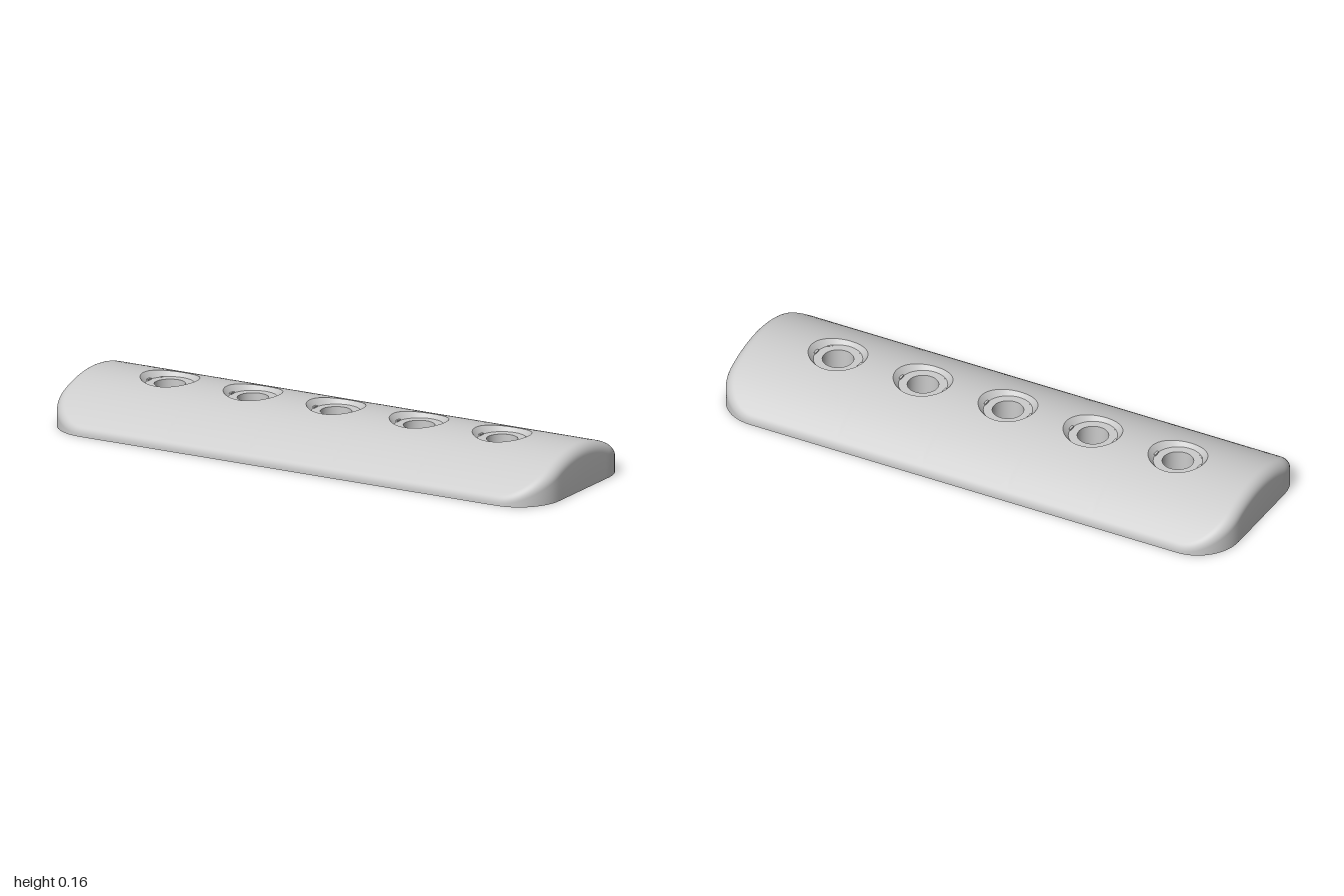
import * as THREE from 'three';
import { mergeGeometries, toCreasedNormals } from 'three/addons/utils/BufferGeometryUtils.js';

const PITCH = 0.335, HALF = PITCH / 2;      // hole spacing
const T = 0.04;                             // wall thickness and edge fillet radius
const R_TOP = 0.47, R_CEIL = R_TOP - T;     // concentric crown arcs
const IN_X = 0.96, IN_Z = 0.29, IN_R = 0.12; // cavity outline
const HOLE_R = 0.055, BOSS_R = 0.092, BOSS_Y = 0.02;
const SEAT_R = 0.086, SEAT_Y = 0.135;       // floor of the recess

// Height of a crown arc at distance z from the centre line
const crown = (z, R) => -0.31 + Math.sqrt(R * R - z * z);

// Skin between closed rings of [x, y, z] points
function loft(rings) {
  const n = rings[0].length, index = [];
  for (let i = 0; i < rings.length - 1; i++) {
    for (let j = 0; j < n; j++) {
      const k = (j + 1) % n, a = i * n + j, b = i * n + k;
      index.push(a, a + n, b, b, a + n, b + n);
    }
  }
  const g = new THREE.BufferGeometry();
  g.setAttribute('position', new THREE.Float32BufferAttribute(rings.flat(2), 3));
  g.setIndex(index);
  return g;
}

// Smooth normals with sharp edges kept (scaled up so close points stay distinct)
function crease(parts) {
  const g = mergeGeometries(parts).scale(100, 100, 100);
  return toCreasedNormals(g, 0.5).scale(0.01, 0.01, 0.01);
}

// Right half of the cavity outline, counter-clockwise from above (w = -z)
function halfOutline() {
  const pts = [], cx = IN_X - IN_R, cw = IN_Z - IN_R, N = 14, M = 14;
  const x0 = 1.5 * PITCH;
  const arc = (sign, from) => {
    for (let i = 0; i <= N; i++) {
      const a = from + (i / N) * Math.PI / 2, nx = Math.cos(a), nw = Math.sin(a);
      pts.push({ x: cx + IN_R * nx, w: sign * cw + IN_R * nw, nx, nw });
    }
  };
  for (let i = 0; i < M; i++) pts.push({ x: x0 + (cx - x0) * i / M, w: -IN_Z, nx: 0, nw: -1 });
  arc(-1, -Math.PI / 2);
  for (let i = 1; i < 16; i++) pts.push({ x: IN_X, w: -cw + 2 * cw * i / 16, nx: 1, nw: 0 });
  arc(1, 0);
  for (let i = 1; i <= M; i++) pts.push({ x: cx + (x0 - cx) * i / M, w: IN_Z, nx: 0, nw: 1 });
  return pts;
}

// Evenly spaced points on a straight line, last point left out
function line(x1, w1, x2, w2, n) {
  return Array.from({ length: n }, (_, i) => ({ x: x1 + (x2 - x1) * i / n, w: w1 + (w2 - w1) * i / n }));
}

const rotate = pts => pts.map(p => ({ x: -p.x, w: -p.w, nx: -p.nx, nw: -p.nw }));

// Boundary of the area around hole i
function cellBoundary(i, half) {
  if (Math.abs(i) === 2) {
    const x = 1.5 * PITCH;
    const pts = [...half, ...line(x, IN_Z, x, -IN_Z, 28).slice(1)];
    return i > 0 ? pts : rotate(pts);
  }
  const c = i * PITCH, a = c - HALF, b = c + HALF;
  return [...line(b, -IN_Z, b, IN_Z, 28), ...line(b, IN_Z, a, IN_Z, 12),
    ...line(a, IN_Z, a, -IN_Z, 28), ...line(a, -IN_Z, b, -IN_Z, 12)];
}

// Rings of a crowned sheet from a round opening out to the cell boundary
function sheetRings(boundary, cx, R, radiusAt) {
  const rings = [], steps = 10, scale = R / R_CEIL;
  for (let s = 0; s <= steps; s++) {
    rings.push(boundary.map(p => {
      const w1 = p.w * scale, a = Math.atan2(w1, p.x - cx), r = radiusAt(a), t = s / steps;
      const x = (cx + r * Math.cos(a)) * (1 - t) + p.x * t;
      const w = r * Math.sin(a) * (1 - t) + w1 * t;
      return [x, crown(w, R), -w];
    }));
  }
  return rings;
}

// Level ring with the same angles as a cell boundary
function levelRing(boundary, cx, scale, r, y) {
  return boundary.map(p => {
    const a = Math.atan2(p.w * scale, p.x - cx);
    return [cx + r * Math.cos(a), y, -r * Math.sin(a)];
  });
}

// Edge of the countersunk mouth where it meets the crown
function mouthRadius(a) {
  let r = 0.106;
  for (let i = 0; i < 6; i++) r = 0.106 - 0.8 * (0.16 - crown(r * Math.sin(a), R_TOP));
  return r;
}

// Fillet, outer wall, bottom rim and inner wall
function skirt(outline) {
  const rings = [], steps = 10;
  for (let s = 0; s <= steps; s++) {
    rings.push(outline.map(({ x, w, nx, nw }) => {
      const sin = w / R_CEIL, cos = Math.sqrt(1 - sin * sin);
      const ang = Math.acos(THREE.MathUtils.clamp(sin * nw, -1, 1)), t = s / steps;
      const k0 = Math.sin((1 - t) * ang) / Math.sin(ang), k1 = Math.sin(t * ang) / Math.sin(ang);
      return [x + T * k1 * nx, crown(w, R_CEIL) + T * k0 * cos, -(w + T * (k0 * sin + k1 * nw))];
    }));
  }
  rings.push(outline.map(p => [p.x + T * p.nx, 0, -(p.w + T * p.nw)]));
  rings.push(outline.map(p => [p.x, 0, -p.w]));
  rings.push(outline.map(p => [p.x, crown(p.w, R_CEIL), -p.w]));
  return loft(rings);
}

// Upright rib in plan from (x1, z1) to (x2, z2), its top buried in the crown
function rib(x1, z1, x2, z2) {
  const len = Math.hypot(x2 - x1, z2 - z1);
  const g = new THREE.BoxGeometry(len, 1, 0.024, 10, 1, 1);
  g.rotateY(-Math.atan2(z2 - z1, x2 - x1)).translate((x1 + x2) / 2, 0, (z1 + z2) / 2);
  const p = g.attributes.position;
  for (let i = 0; i < p.count; i++) {
    p.setY(i, p.getY(i) > 0 ? Math.max(BOSS_Y, crown(p.getZ(i), R_TOP - T / 2)) : BOSS_Y);
  }
  g.computeVertexNormals();
  return g;
}

export function createModel() {
  const model = new THREE.Group();
  model.name = 'ribbedBar';
  const material = new THREE.MeshStandardMaterial({ color: 0xcccccc });
  const add = (name, geometry) => {
    const mesh = new THREE.Mesh(geometry, material);
    mesh.name = name;
    model.add(mesh);
  };

  const half = halfOutline();
  const shell = [skirt([...half, ...rotate(half)])], underside = [], ribs = [];

  for (let i = -2; i <= 2; i++) {
    const cx = i * PITCH, edge = cellBoundary(i, half);

    // Boss foot, through hole, recess and crowned top
    const ring = (r, y) => levelRing(edge, cx, R_TOP / R_CEIL, r, y);
    shell.push(loft([
      ring(BOSS_R, BOSS_Y), ring(HOLE_R, BOSS_Y), ring(HOLE_R, SEAT_Y), ring(SEAT_R, SEAT_Y),
      ...sheetRings(edge, cx, R_TOP, mouthRadius),
    ]));

    // Cavity ceiling, running inward and then down the boss wall
    underside.push(loft([
      ...sheetRings(edge, cx, R_CEIL, () => BOSS_R).reverse(),
      levelRing(edge, cx, 1, BOSS_R, BOSS_Y),
    ]));

    // Diagonal ribs, meeting halfway between bosses or running into the corners
    for (const sx of [-1, 1]) {
      const atEnd = i * sx === 2;
      const dx = atEnd ? 0.265 : HALF, dz = atEnd ? 0.265 : 0.28;
      const k = (BOSS_R - 0.01) / Math.hypot(dx, dz);
      for (const sz of [-1, 1]) {
        ribs.push(rib(cx + sx * dx * k, sz * dz * k, cx + sx * dx, sz * dz));
      }
      // Centre rib to the end wall
      if (atEnd) ribs.push(rib(cx + sx * 0.082, 0, sx * 0.97, 0));
    }
    // Centre rib to the next boss
    if (i < 2) ribs.push(rib(cx + 0.082, 0, cx + PITCH - 0.082, 0));
  }

  add('shell', crease(shell));
  add('cavityAndBosses', crease(underside));
  add('ribs', mergeGeometries(ribs));
  return model;
}
